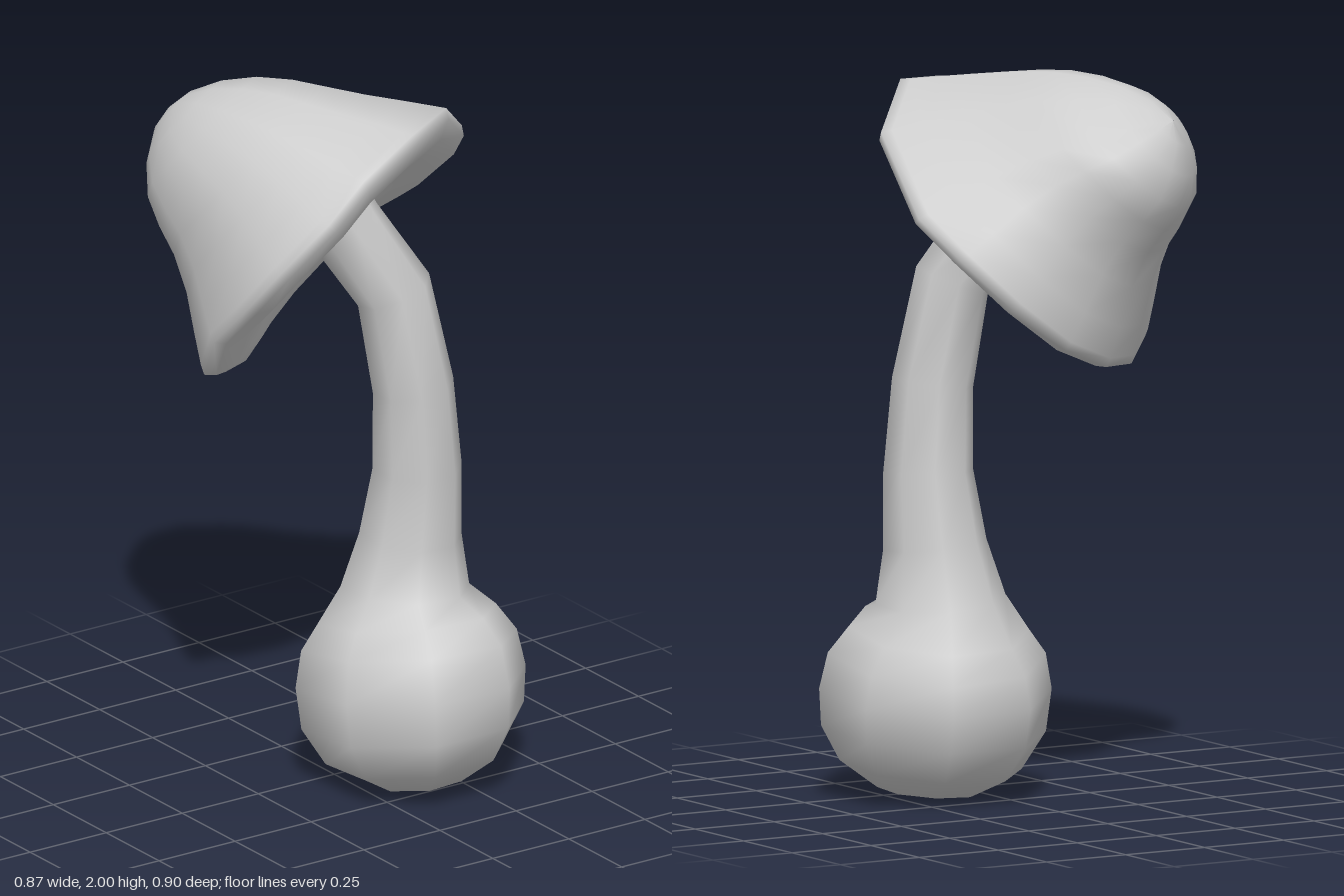
import * as THREE from 'three';

const V = (x, y, z) => new THREE.Vector3(x, y, z);

// Skin a list of closed rings (arrays of Vector3) with smooth normals
function loft(name, rings) {
  const n = rings[0].length, index = [];
  for (let i = 0; i < rings.length - 1; i++) {
    for (let j = 0; j < n; j++) {
      const k = (j + 1) % n;
      const a = i * n + j, b = i * n + k, c = a + n, d = b + n;
      index.push(a, c, b, b, c, d);
    }
  }
  const geometry = new THREE.BufferGeometry().setFromPoints(rings.flat());
  geometry.setIndex(index);
  geometry.computeVertexNormals();
  const mesh = new THREE.Mesh(geometry, new THREE.MeshStandardMaterial({ color: 0xcccccc }));
  mesh.name = name;
  return mesh;
}

// Bulb and bent stem: centre x, y, z and radius of each ring, bottom to top
function makeStem() {
  const sections = [
    [0.157, 0.002, 0.17, 0.002], [0.157, 0.022, 0.17, 0.14], [0.153, 0.09, 0.165, 0.25],
    [0.15, 0.19, 0.155, 0.308], [0.15, 0.3, 0.145, 0.318], [0.155, 0.4, 0.13, 0.298],
    [0.158, 0.47, 0.115, 0.247], [0.16, 0.55, 0.103, 0.178], [0.175, 0.7, 0.108, 0.142],
    [0.185, 0.9, 0.125, 0.123], [0.165, 1.14, 0.135, 0.112], [0.117, 1.42, 0.112, 0.106],
    [0.01, 1.6, 0.05, 0.105], [-0.035, 1.66, 0.005, 0.135],
  ];
  const centres = sections.map(([x, y, z]) => V(x, y, z));
  const sides = 8;
  const rings = sections.map(([, , , r], i) => {
    const tangent = centres[Math.min(i + 1, centres.length - 1)].clone()
      .sub(centres[Math.max(i - 1, 0)]).normalize();
    const u = V(1, 0, 0).addScaledVector(tangent, -tangent.x).normalize();
    const w = u.clone().cross(tangent);
    return Array.from({ length: sides }, (_, j) => {
      const a = ((j + 0.5) / sides) * Math.PI * 2;
      return centres[i].clone()
        .addScaledVector(u, r * Math.cos(a)).addScaledVector(w, r * Math.sin(a));
    });
  });
  return loft('stem', rings);
}

// Tilted bell cap: an uneven rim loop scaled and lifted along the cap axis
function makeCap() {
  const rim = [
    [0.05, 1.945, 0.3], [0.215, 1.96, 0.22], [0.35, 1.84, 0.1], [0.39, 1.64, -0.16],
    [0.34, 1.54, -0.29], [0.21, 1.4, -0.36], [0.05, 1.28, -0.365], [-0.13, 1.21, -0.28],
    [-0.29, 1.19, -0.15], [-0.4, 1.24, -0.04], [-0.43, 1.37, 0.05], [-0.415, 1.5, 0.18],
    [-0.37, 1.63, 0.28], [-0.26, 1.77, 0.35], [-0.14, 1.865, 0.34],
  ].map(p => V(...p));
  const centre = V(-0.03, 1.57, 0.03);
  const axis = V(-0.45, 0.55, -0.71).normalize();
  const lean = V(-0.05, 0.24, 0.4);
  // scale of the rim, height along the axis and sideways lean,
  // from the tip over the rim to the underside
  const profile = [
    [0.002, 0.57, 0], [0.15, 0.555, 0], [0.31, 0.51, 0], [0.45, 0.445, 0.01],
    [0.55, 0.37, 0.05], [0.63, 0.29, 0.08], [0.74, 0.195, 0.07], [0.87, 0.1, 0.03],
    [0.97, 0.025, 0], [1, 0, 0], [0.96, -0.025, 0], [0.84, -0.045, 0], [0.68, -0.035, 0],
    [0.5, -0.005, 0], [0.35, 0.005, 0], [0.22, -0.01, 0], [0.002, -0.01, 0],
  ];
  const rings = profile.map(([s, h, k]) => rim.map(p => p.clone().sub(centre)
    .multiplyScalar(s).add(centre).addScaledVector(axis, h).addScaledVector(lean, k)));
  return loft('cap', rings);
}

export function createModel() {
  const group = new THREE.Group();
  group.name = 'mushroom';
  group.add(makeStem(), makeCap());
  return group;
}
